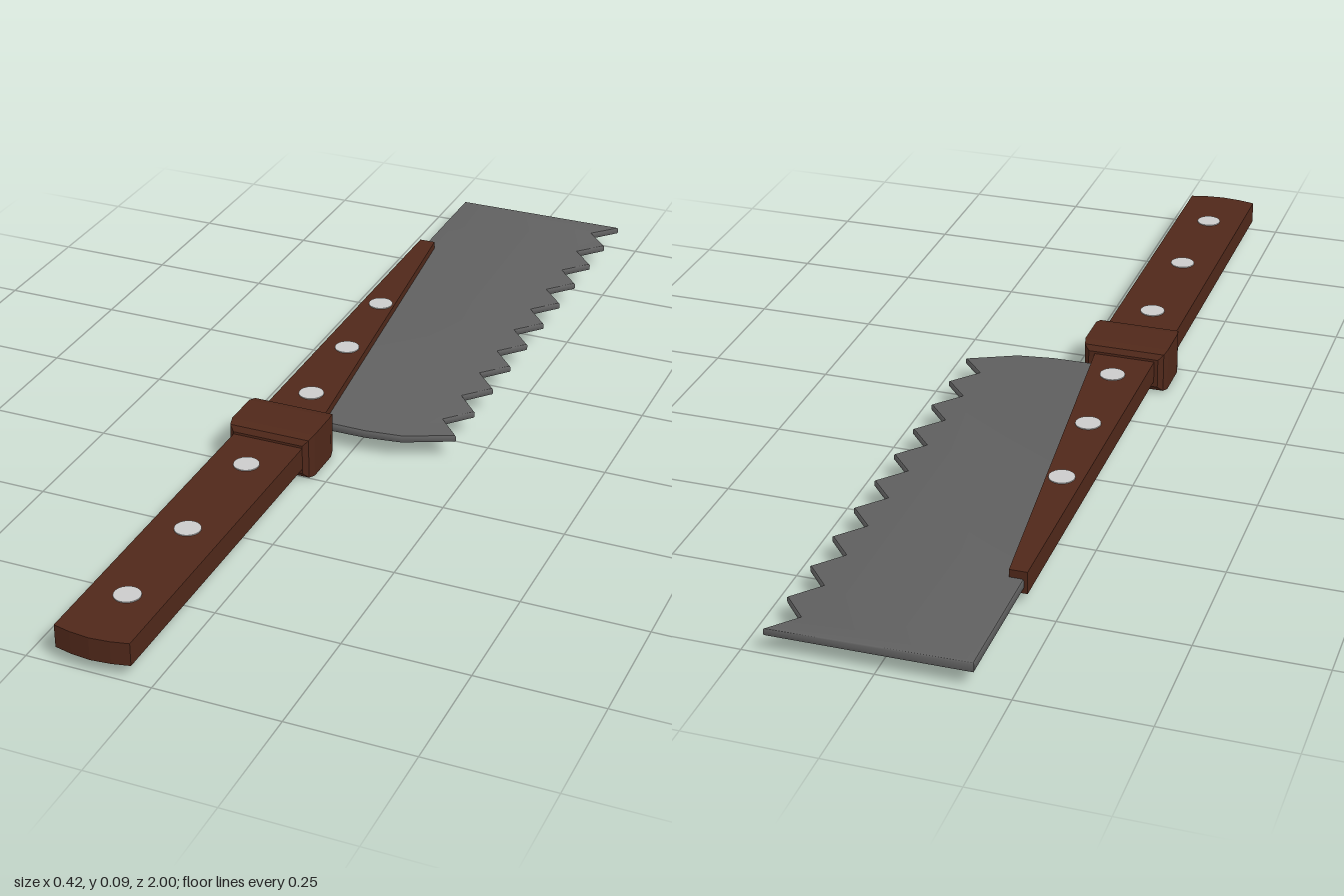
import * as THREE from 'three';
import { toCreasedNormals } from 'three/addons/utils/BufferGeometryUtils.js';

const wood = new THREE.MeshStandardMaterial({ color: 0x50281a });
const steel = new THREE.MeshStandardMaterial({ color: 0x606060 });
const rivetMetal = new THREE.MeshStandardMaterial({ color: 0xcccccc });

// Extrudes an outline of [x, z] points upwards from y0 to y1, bevel included
function slab(points, y0, y1, bevel = 0, inset = bevel) {
  const shape = new THREE.Shape(points.map(([x, z]) => new THREE.Vector2(x, -z)));
  const geo = new THREE.ExtrudeGeometry(shape, {
    depth: y1 - y0 - 2 * bevel, bevelEnabled: bevel > 0,
    bevelThickness: bevel, bevelSize: inset, bevelOffset: -inset, bevelSegments: 2,
  });
  return geo.rotateX(-Math.PI / 2).translate(0, y0 + bevel, 0);
}

export function createModel() {
  const model = new THREE.Group();
  const add = (name, geometry, material) => {
    const mesh = new THREE.Mesh(geometry, material);
    mesh.name = name;
    model.add(mesh);
    return mesh;
  };

  // Blade: straight back, saw teeth on the +x edge
  const outline = [[-0.18, 0.12], [-0.06, 0.12], [0.03, 0.12], [0.105, 0.11]];
  const teeth = 10, start = 0.065, pitch = 0.1065;
  for (let i = 0; i <= teeth; i++) {
    const z = start - i * pitch;
    outline.push([0.205, z]);
    if (i < teeth) outline.push([0.157, z - pitch / 2]);
  }
  outline.push([-0.18, -0.993]);
  const blade = slab(outline, 0.035, 0.057, 0.004, 0.005);
  // Thin the blade towards the teeth
  const p = blade.attributes.position;
  for (let i = 0; i < p.count; i++) {
    const t = THREE.MathUtils.clamp((p.getX(i) + 0.18) / 0.385, 0, 1);
    p.setY(i, 0.046 + (p.getY(i) - 0.046) * (1 - 0.3 * t));
  }
  add('blade', toCreasedNormals(blade, 0.7), steel);

  // Grip with a slightly bowed butt
  add('grip', slab([
    [-0.195, 0.2], [-0.195, 0.988], [-0.16, 0.996], [-0.12, 1],
    [-0.08, 0.996], [-0.045, 0.988], [-0.045, 0.2],
  ], 0.026, 0.073), wood);

  // Tapering wooden spine that clasps the blade
  add('spine', slab([
    [-0.187, 0.2], [-0.05, 0.2], [-0.058, 0.13], [-0.152, -0.72], [-0.187, -0.72],
  ], 0.027, 0.073), wood);

  // Chamfered collar between grip and spine
  const w = 0.18, h = 0.093, cut = 0.015;
  const rect = new THREE.Shape([[-1, -1], [1, -1], [1, 1], [-1, 1]]
    .map(([x, y]) => new THREE.Vector2(x * (w / 2 - cut), y * (h / 2 - cut))));
  const collar = new THREE.ExtrudeGeometry(rect, {
    depth: 0.08, bevelThickness: 0.026, bevelSize: cut, bevelSegments: 2,
  });
  add('collar', collar.translate(-0.12, h / 2, 0.156), wood);

  // Rivets on the top face
  const rivet = new THREE.CylinderGeometry(0.026, 0.026, 0.008, 24);
  const spots = [[-0.145, -0.38], [-0.132, -0.163], [-0.12, 0.05], [-0.12, 0.36], [-0.12, 0.615], [-0.12, 0.855]];
  spots.forEach(([x, z], i) => add(`rivet${i + 1}`, rivet, rivetMetal).position.set(x, 0.071, z));

  return model;
}
